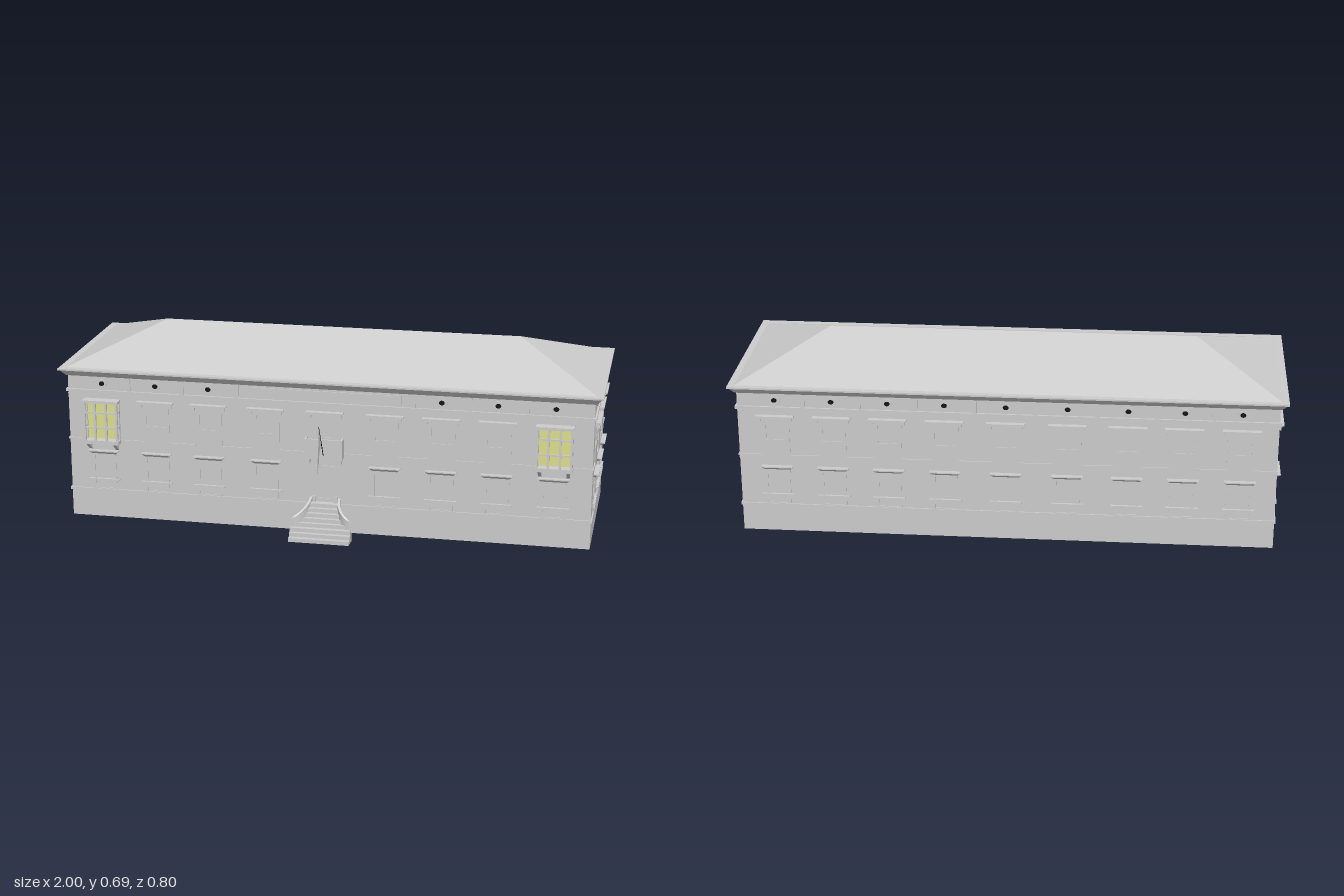
import * as THREE from 'three';

const grey = new THREE.MeshStandardMaterial({ color: 0xcccccc, flatShading: true, side: THREE.DoubleSide });
const black = new THREE.MeshStandardMaterial({ color: 0x111111 });
const yellow = new THREE.MeshStandardMaterial({ color: 0xdde08c, side: THREE.DoubleSide });

const HALF_L = 0.968, HALF_D = 0.3075, MID_Z = -0.05, FRONT = MID_Z + HALF_D;
const WALL_TOP = 0.548;

function add(parent, name, geo, x = 0, y = 0, z = 0, mat = grey) {
  const m = new THREE.Mesh(geo, mat);
  m.name = name;
  m.position.set(x, y, z);
  parent.add(m);
  return m;
}

// Box given by its x, y and z ranges
function slab(parent, name, x0, x1, y0, y1, z0, z1, mat) {
  return add(parent, name, new THREE.BoxGeometry(x1 - x0, y1 - y0, z1 - z0),
    (x0 + x1) / 2, (y0 + y1) / 2, (z0 + z1) / 2, mat);
}

// Box standing on y = 0 whose top has a different size from its bottom
function frustum(w0, d0, w1, d1, h) {
  const g = new THREE.BoxGeometry(1, h, 1).translate(0, h / 2, 0);
  const p = g.attributes.position;
  for (let i = 0; i < p.count; i++) {
    const top = p.getY(i) > h / 2;
    p.setX(i, p.getX(i) * (top ? w1 : w0));
    p.setZ(i, p.getZ(i) * (top ? d1 : d0));
  }
  g.computeVertexNormals();
  return g;
}

function rect(path, x0, x1, y0, y1) {
  path.moveTo(x0, y0).lineTo(x1, y0).lineTo(x1, y1).lineTo(x0, y1).closePath();
  return path;
}

// Flat surround with an opening, straddling the wall plane
function surround(parent, name, x, w, y0, y1, hw, hy0, hy1) {
  const s = rect(new THREE.Shape(), -w / 2, w / 2, y0, y1);
  s.holes.push(rect(new THREE.Path(), -hw / 2, hw / 2, hy0, hy1));
  const g = new THREE.ExtrudeGeometry(s, { depth: 0.006, bevelEnabled: false });
  return add(parent, name, g, x, 0, -0.003);
}

function lowerWindow(f, x) {
  surround(f, 'lowerWindowFrame', x, 0.092, 0.11, 0.25, 0.072, 0.114, 0.24);
  add(f, 'lowerWindowHood', frustum(0.092, 0.012, 0.112, 0.034, 0.01), x, 0.249, 0);
  slab(f, 'lowerWindowHoodTop', x - 0.057, x + 0.057, 0.259, 0.263, -0.004, 0.018);
  slab(f, 'lowerWindowSill', x - 0.058, x + 0.058, 0.145, 0.151, -0.004, 0.009);
}

function upperHood(f, x) {
  slab(f, 'upperWindowHood', x - 0.062, x + 0.062, 0.45, 0.457, -0.004, 0.014);
  slab(f, 'upperWindowHoodTop', x - 0.069, x + 0.069, 0.457, 0.462, -0.004, 0.02);
  for (const s of [-1, 1])
    slab(f, 'upperWindowBracket', x + s * 0.056 - 0.005, x + s * 0.056 + 0.005, 0.439, 0.45, -0.003, 0.01);
}

function oculus(f, x) {
  const disc = (r, d) => new THREE.CylinderGeometry(r, r, d, 24).rotateX(Math.PI / 2).scale(1.2, 1, 1);
  add(f, 'oculusRim', disc(0.0165, 0.006), x, 0.52, 0);
  add(f, 'oculusOpening', disc(0.0085, 0.009), x, 0.52, 0, black);
}

// One side of the building, in its own plane facing +z
function facade(name, half, xs, isFront) {
  const f = new THREE.Group();
  f.name = name;
  add(f, 'wall', new THREE.PlaneGeometry(half * 2, WALL_TOP), 0, WALL_TOP / 2);
  for (const [y0, y1, d] of [[0.1, 0.11, 0.005], [0.485, 0.495, 0.007]])
    slab(f, 'stringCourse', -half - d, half + d, y0, y1, -0.003, d);
  const skipUpper = x => isFront && Math.abs(x) > 0.8;
  // Middle belt, broken by the tall upper window surrounds
  let start = -half - 0.004;
  for (const x of [...xs, half + 0.054]) {
    const end = x - 0.05;
    slab(f, 'middleBelt', start, Math.min(end, half + 0.004), 0.3, 0.306, -0.003, 0.004);
    start = x + 0.05;
  }
  xs.forEach((x, i) => {
    const middle = isFront && x === 0;
    if (middle) surround(f, 'doorFrame', 0, 0.082, 0.11, 0.255, 0.06, 0.13, 0.24);
    else lowerWindow(f, x);
    if (!skipUpper(x)) {
      surround(f, 'upperWindowFrame', x, 0.1, 0.3, 0.452, 0.07, 0.365, 0.435);
      upperHood(f, x);
    }
    const central = isFront && Math.abs(x) < 0.3;
    if (!central) oculus(f, x);
    // Pilaster strips between the frieze panels
    if (i > 0 && !(isFront && Math.abs(x + xs[i - 1]) / 2 < 0.3)) {
      const m = (x + xs[i - 1]) / 2;
      slab(f, 'friezeStrip', m - 0.007, m + 0.007, 0.495, WALL_TOP, -0.003, 0.005);
    }
  });
  if (isFront) slab(f, 'friezePlaque', -0.28, 0.28, 0.505, 0.537, -0.003, 0.004);
  return f;
}

// Open projecting window in front of a coloured pane
function bayWindow(x) {
  const b = new THREE.Group();
  b.name = 'bayWindow';
  b.position.set(x, 0, FRONT);
  const W = 0.065, D = 0.036, t = 0.004;
  slab(b, 'bayPane', -W + 0.008, W - 0.008, 0.302, 0.452, -0.003, 0.003, yellow);
  for (const px of [-W + t, -0.021, 0.021, W - t])
    slab(b, 'bayMullion', px - t, px + t, 0.3, 0.456, D - 0.008, D);
  for (const s of [-1, 1])
    slab(b, 'bayWallPost', s * (W - t) - t, s * (W - t) + t, 0.3, 0.456, 0, 0.009);
  for (const y of [0.358, 0.415]) {
    slab(b, 'bayRail', -W, W, y - 0.003, y + 0.003, D - 0.007, D - 0.001);
    for (const s of [-1, 1])
      slab(b, 'baySideRail', s * (W - t) - 0.003, s * (W - t) + 0.003, y - 0.003, y + 0.003, 0, D - 0.002);
  }
  slab(b, 'bayRoof', -W - 0.003, W + 0.003, 0.452, 0.462, 0, D + 0.002);
  slab(b, 'bayFloor', -W - 0.002, W + 0.002, 0.294, 0.308, 0, D);
  // Sloping corbel under the floor
  const s = new THREE.Shape().moveTo(0, 0.265).lineTo(D, 0.294).lineTo(0, 0.294).closePath();
  const g = new THREE.ExtrudeGeometry(s, { depth: 0.012, bevelEnabled: false }).rotateY(-Math.PI / 2);
  for (const px of [-0.045, 0.057]) add(b, 'bayCorbel', g, px);
  return b;
}

function entranceStair() {
  const st = new THREE.Group();
  st.name = 'entranceStair';
  const run = 0.087, N = 12;
  const arc = (t, off = 0) => [0.048 + off + 0.057 * (1 - Math.cos(t * Math.PI / 2)), FRONT + run * Math.sin(t * Math.PI / 2)];
  // Treads follow the flared plan of the side walls
  const tread = (y0, y1, zf) => {
    const tEnd = Math.min(1, Math.asin(Math.min(1, (zf - FRONT) / run)) / (Math.PI / 2));
    const right = [];
    for (let i = 0; i <= N; i++) right.push(arc(tEnd * i / N));
    if (zf > FRONT + run) right.push([0.112, FRONT + run], [0.112, zf]);
    const left = right.map(([x, z]) => [-x, z]).reverse();
    const s = new THREE.Shape([...right, ...left].map(([x, z]) => new THREE.Vector2(x, -z)));
    const g = new THREE.ExtrudeGeometry(s, { depth: y1 - y0, bevelEnabled: false }).rotateX(-Math.PI / 2);
    add(st, 'step', g, 0, y0);
  };
  const fronts = [0.389, 0.373, 0.358, 0.342, 0.328, 0.314, 0.3, 0.286];
  fronts.forEach((z, i) => tread(i * 0.0145, (i + 1) * 0.0145, z));
  // Curved side walls with a falling top edge
  for (const side of [-1, 1]) {
    const pos = [], idx = [];
    for (let i = 0; i <= N; i++) {
      const t = i / N, h = 0.132 - 0.058 * t;
      const [xi, z] = arc(t), [xo] = arc(t, 0.009);
      pos.push(side * xi, 0, z, side * xi, h, z, side * xo, h, z, side * xo, 0, z);
    }
    for (let i = 0; i < N; i++) for (let k = 0; k < 4; k++) {
      const a = i * 4 + k, b = i * 4 + (k + 1) % 4;
      if (side > 0) idx.push(a, a + 4, b, b, a + 4, b + 4);
      else idx.push(a, b, a + 4, b, b + 4, a + 4);
    }
    const e = N * 4;
    idx.push(...(side > 0 ? [e, e + 2, e + 1, e, e + 3, e + 2] : [e, e + 1, e + 2, e, e + 2, e + 3]));
    const g = new THREE.BufferGeometry();
    g.setAttribute('position', new THREE.Float32BufferAttribute(pos, 3));
    g.setIndex(idx);
    g.computeVertexNormals();
    add(st, 'stairSideWall', g);
    slab(st, 'stairPost', side * 0.04 - 0.006, side * 0.04 + 0.006, 0.116, 0.138, FRONT, FRONT + 0.012);
  }
  return st;
}

function balconyAndFlag() {
  const b = new THREE.Group();
  b.name = 'balcony';
  slab(b, 'balconyFront', -0.07, 0.07, 0.29, 0.365, 0.287, 0.293);
  for (const s of [-1, 1]) {
    slab(b, 'balconySide', s * 0.067 - 0.003, s * 0.067 + 0.003, 0.29, 0.365, FRONT, 0.29);
    slab(b, 'balconyBracket', s * 0.058 - 0.005, s * 0.058 + 0.005, 0.268, 0.29, FRONT, 0.28);
  }
  slab(b, 'balconyFloor', -0.07, 0.07, 0.29, 0.299, FRONT, 0.292);
  // Leaning pole and hanging cloth
  const pole = new THREE.LineCurve3(new THREE.Vector3(0, 0.305, 0.292), new THREE.Vector3(0, 0.439, 0.375));
  add(b, 'flagPole', new THREE.TubeGeometry(pole, 1, 0.0014, 6), 0, 0, 0, black);
  const cloth = [[0.375, 0.437], [0.331, 0.366], [0.352, 0.345], [0.371, 0.322], [0.374, 0.298], [0.386, 0.288],
    [0.389, 0.256], [0.393, 0.272], [0.4, 0.277], [0.392, 0.325], [0.382, 0.365], [0.374, 0.4]];
  const s = new THREE.Shape(cloth.map(p => new THREE.Vector2(...p)));
  add(b, 'flagCloth', new THREE.ShapeGeometry(s).rotateY(-Math.PI / 2));
  return b;
}

export function createModel() {
  const model = new THREE.Group();
  model.name = 'palace';
  const house = new THREE.Group();
  house.name = 'house';
  house.rotation.y = -0.0075;
  model.add(house);

  // Four facades
  const longXs = [-0.838, -0.635, -0.435, -0.22, 0, 0.22, 0.425, 0.627, 0.832];
  const sideXs = [-0.185, 0, 0.185];
  const place = (f, x, z, turn) => { f.position.set(x, 0, z); f.rotation.y = turn; house.add(f); };
  place(facade('frontFacade', HALF_L, longXs, true), 0, FRONT, 0);
  place(facade('backFacade', HALF_L, longXs.map(x => -x).reverse(), false), 0, MID_Z - HALF_D, Math.PI);
  place(facade('leftFacade', HALF_D, sideXs, false), HALF_L, MID_Z, Math.PI / 2);
  place(facade('rightFacade', HALF_D, sideXs, false), -HALF_L, MID_Z, -Math.PI / 2);

  // Cornice, eaves and hipped roof
  add(house, 'cornice', frustum(1.945, 0.625, 1.985, 0.665, 0.024), 0, 0.546, MID_Z);
  slab(house, 'eaves', -0.997, 0.997, 0.57, 0.576, MID_Z - 0.338, MID_Z + 0.338);
  add(house, 'roof', frustum(1.95, 0.63, 1.34, 0.0005, 0.12), 0, 0.575, MID_Z - 0.003);

  for (const x of [longXs[0], longXs[8]]) house.add(bayWindow(x));
  house.add(entranceStair(), balconyAndFlag());
  return model;
}
